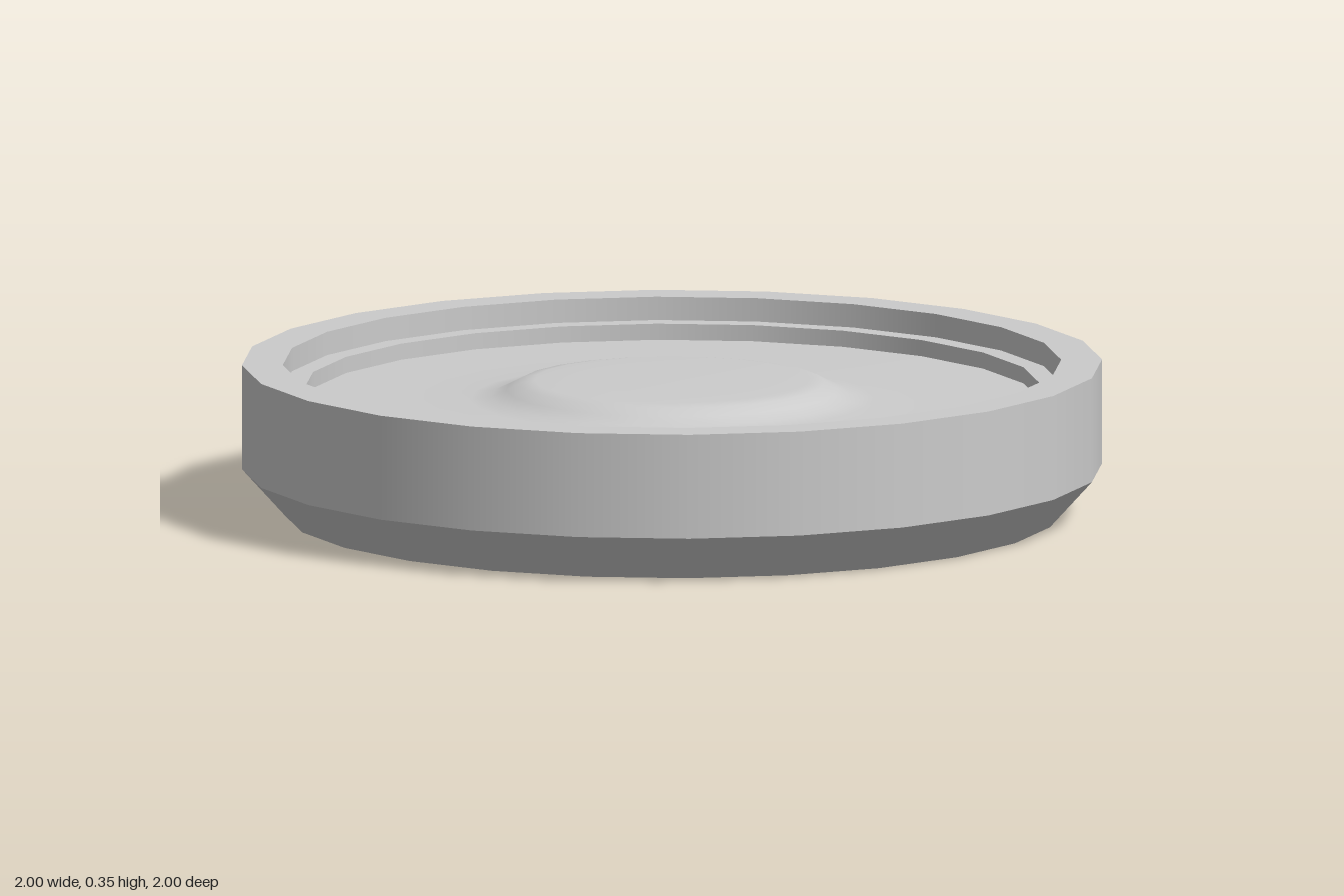
import * as THREE from 'three';

const SIDES = 24;
const material = new THREE.MeshStandardMaterial({ color: 0xcccccc, side: THREE.DoubleSide });

// One smooth band of revolution; separate bands keep sharp edges between them
function band(name, points) {
  const profile = points.map(([r, y]) => new THREE.Vector2(r, y));
  const mesh = new THREE.Mesh(new THREE.LatheGeometry(profile, SIDES), material);
  mesh.name = name;
  return mesh;
}

export function createModel() {
  const model = new THREE.Group();
  model.name = 'shallowRoundCap';

  // Thin shell, open underneath: outside bottom, up, then inward and down the steps
  const shell = [[0.9, 0], [1, 0.11], [1, 0.355], [0.905, 0.355], [0.905, 0.3], [0.855, 0.3], [0.855, 0.262]];
  const names = ['chamfer', 'outerWall', 'rim', 'upperStepWall', 'ledge', 'lowerStepWall'];
  names.forEach((name, i) => model.add(band(name, [shell[i], shell[i + 1]])));

  // Recessed disc with a softly raised centre
  model.add(band('raisedDisc', [
    [0.855, 0.262], [0.6, 0.266], [0.47, 0.27], [0.42, 0.276],
    [0.385, 0.292], [0.355, 0.308], [0.32, 0.314], [0.2, 0.316], [0, 0.316],
  ]));
  return model;
}
